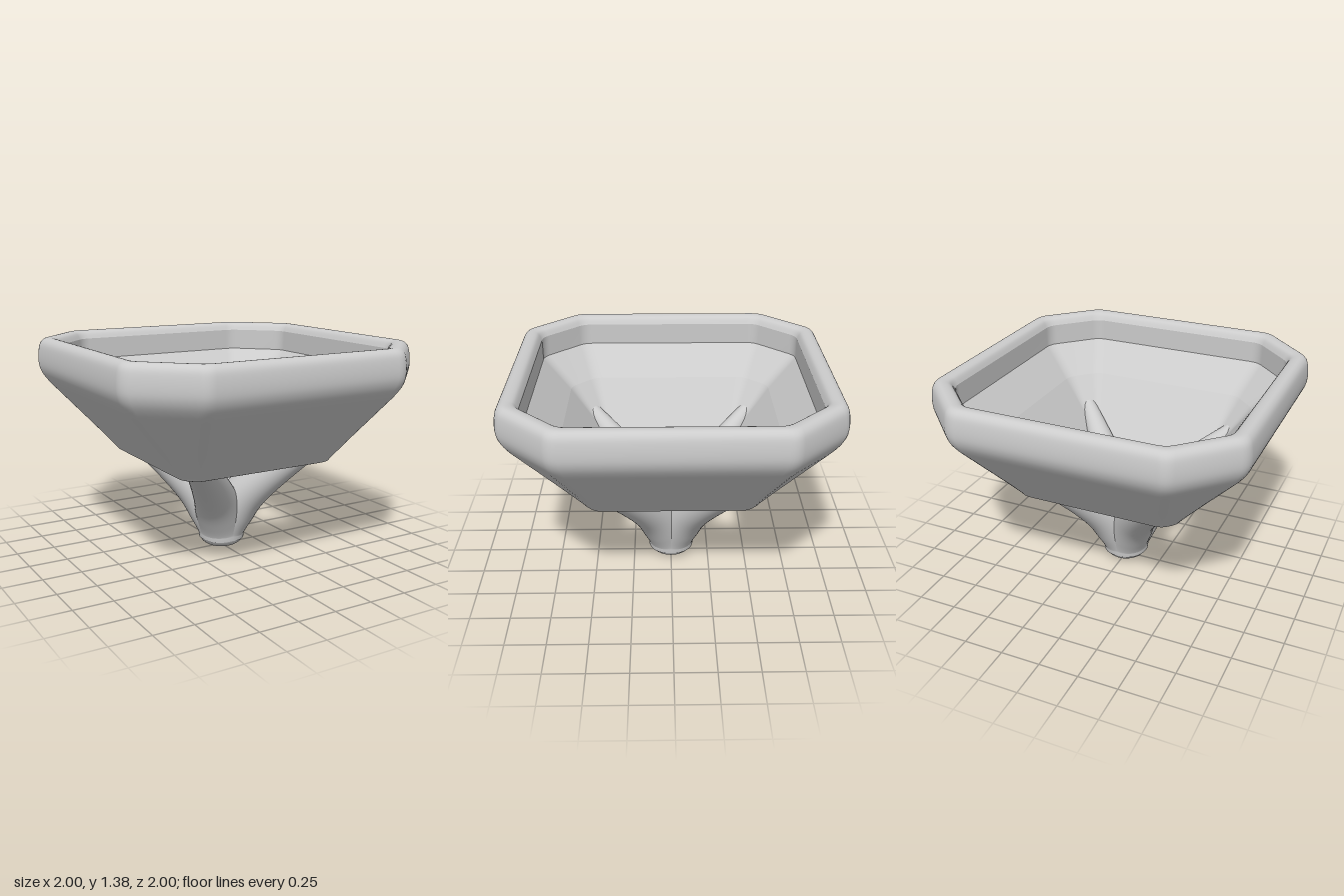
import * as THREE from 'three';

const material = new THREE.MeshStandardMaterial({ color: 0xcccccc });

// Chamfered square ring of half width s, with softly rounded corners
function ring(s, y) {
  const c = Math.min(s, 0.66 - (1 - s) * 0.43);
  const corners = [[s, -c], [s, c], [c, s], [-c, s], [-s, c], [-s, -c], [-c, -s], [c, -s]]
    .map(([x, z]) => new THREE.Vector3(x, y, z));
  const bevel = Math.min(0.05, 0.4 * (s - c) * Math.SQRT2);
  return corners.flatMap((p, i) => {
    const towards = (q) => q.clone().sub(p).setLength(bevel).add(p);
    const a = towards(corners[(i + 7) % 8]);
    const b = towards(corners[(i + 1) % 8]);
    return new THREE.QuadraticBezierCurve3(a, p, b).getPoints(4);
  });
}

// Skin a list of [half width, height] pairs with chamfered rings
function band(name, profile) {
  const rings = profile.map(([s, y]) => ring(s, y));
  const n = rings[0].length;
  const index = [];
  for (let j = 0; j < rings.length - 1; j++) {
    for (let i = 0; i < n; i++) {
      const k = (i + 1) % n;
      const a = j * n + i, b = j * n + k;
      index.push(a, a + n, b, b, a + n, b + n);
    }
  }
  const geometry = new THREE.BufferGeometry().setFromPoints(rings.flat());
  geometry.setIndex(index);
  geometry.computeVertexNormals();
  const mesh = new THREE.Mesh(geometry, material);
  mesh.name = name;
  return mesh;
}

// Round tapering leg that starts upright and sweeps outwards along +x
function legGeometry() {
  const path = new THREE.CatmullRomCurve3(
    [[0, 0.08], [0.008, 0.13], [0.06, 0.23], [0.17, 0.38], [0.48, 0.63], [0.76, 0.81]]
      .map(([d, y]) => new THREE.Vector3(d, y, 0)));
  const steps = 48, sides = 40;
  const geometry = new THREE.TubeGeometry(path, steps, 1, sides);
  const pos = geometry.attributes.position;
  const v = new THREE.Vector3();
  for (let i = 0; i < pos.count; i++) {
    const u = Math.floor(i / (sides + 1)) / steps;
    const centre = path.getPointAt(u);
    const radius = 0.15 - 0.1 * Math.max(0, (u - 0.2) / 0.8) ** 1.1;
    v.fromBufferAttribute(pos, i).sub(centre).multiplyScalar(radius).add(centre);
    pos.setXYZ(i, v.x, v.y, v.z);
  }
  return geometry;
}

export function createModel() {
  const model = new THREE.Group();

  // Bowl: rounded outer shell and rim, flat underside, stepped inner walls
  const bowl = new THREE.Group();
  bowl.name = 'bowl';
  const outer = new THREE.SplineCurve(
    [[0.5, 0.625], [0.535, 0.632], [0.56, 0.66], [0.68, 0.8], [0.86, 1.005], [0.95, 1.11],
      [0.99, 1.18], [1, 1.25], [0.99, 1.335], [0.965, 1.373], [0.93, 1.382], [0.89, 1.37], [0.865, 1.33]]
      .map(([s, y]) => new THREE.Vector2(s, y)));
  bowl.add(
    band('outerShell', outer.getPoints(60).map((p) => [p.x, p.y])),
    band('underside', [[0.4, 0.625], [0.5, 0.625]]),
    band('rimInnerWall', [[0.865, 1.33], [0.865, 1.19]]),
    band('upperInnerSlope', [[0.865, 1.19], [0.68, 1.0]]),
    band('lowerInnerSlope', [[0.68, 1.0], [0.4, 0.625]]));
  model.add(bowl);

  // Four legs on the diagonals
  const leg = legGeometry();
  for (let i = 0; i < 4; i++) {
    const mesh = new THREE.Mesh(leg, material);
    mesh.name = 'leg' + (i + 1);
    mesh.rotation.y = Math.PI / 4 + i * Math.PI / 2;
    model.add(mesh);
  }

  // Rounded foot joining the legs
  const footProfile = new THREE.SplineCurve(
    [[0, 0], [0.06, 0.005], [0.11, 0.022], [0.142, 0.055], [0.152, 0.1]]
      .map(([r, y]) => new THREE.Vector2(r, y))).getPoints(20);
  footProfile.push(new THREE.Vector2(0, 0.1));
  const foot = new THREE.Mesh(new THREE.LatheGeometry(footProfile, 48), material);
  foot.name = 'foot';
  model.add(foot);

  return model;
}
